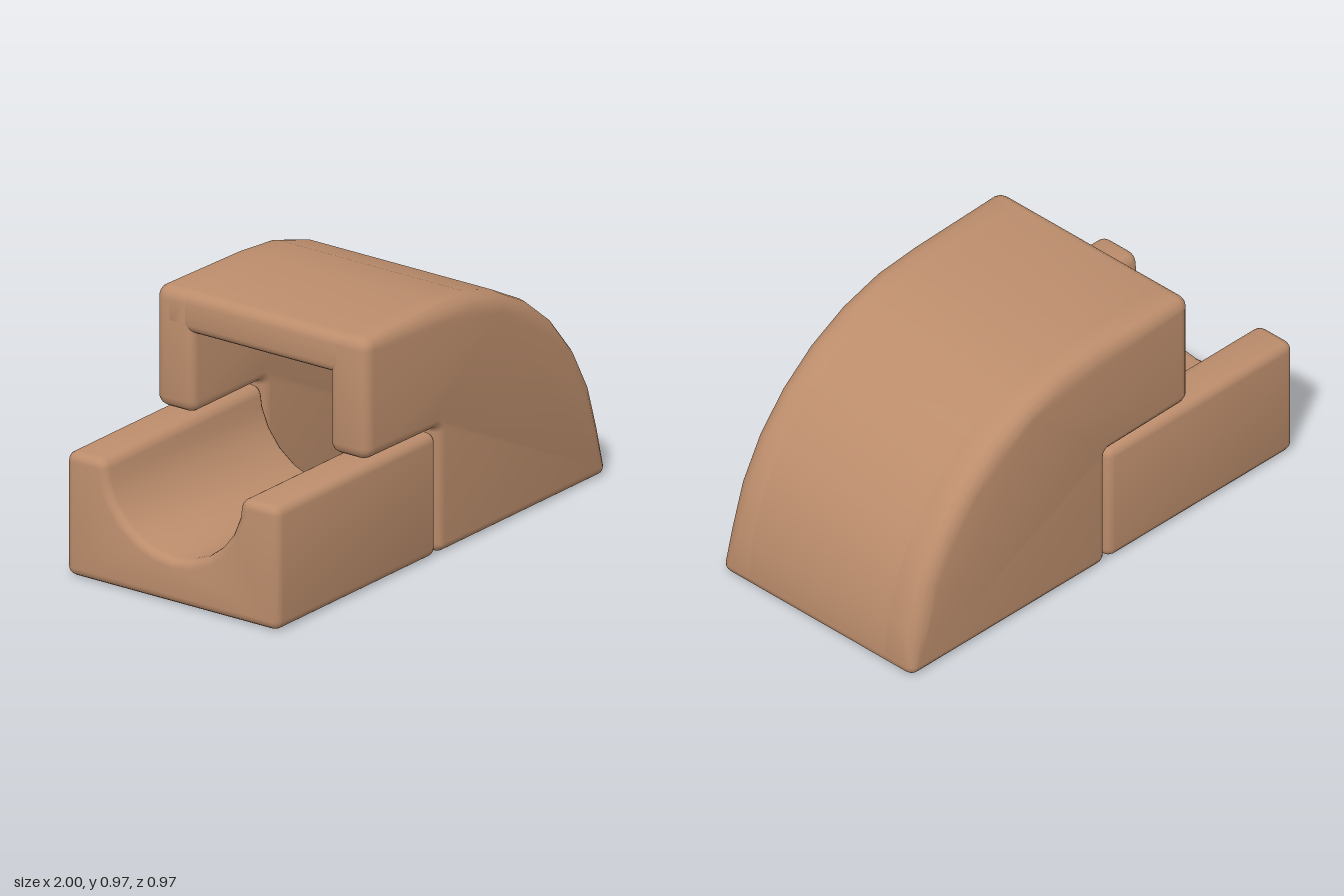
import * as THREE from 'three';
import { toCreasedNormals } from 'three/addons/utils/BufferGeometryUtils.js';

const wood = new THREE.MeshStandardMaterial({ color: 0xbc8d6c });
wood.name = 'wood';

// Replaces each corner [x, y, r] with a small arc where r > 0
function roundCorners(corners, steps = 4) {
  const out = [];
  corners.forEach(([x, y, r = 0], i) => {
    const p = new THREE.Vector2(x, y);
    if (!r) return out.push(p);
    const n = corners.length;
    const toward = (c) => new THREE.Vector2(c[0], c[1]).sub(p).normalize().multiplyScalar(r);
    const a = toward(corners[(i + n - 1) % n]);
    const b = toward(corners[(i + 1) % n]);
    for (let k = 0; k <= steps; k++) {
      const t = (k / steps) * Math.PI / 2;
      out.push(p.clone()
        .addScaledVector(a, 1 - Math.sin(t))
        .addScaledVector(b, 1 - Math.cos(t)));
    }
  });
  return out;
}

// Solid between z0 and z1 from a counter-clockwise outline, with rounded rims
function roundedPrism(outline, z0, z1, bevel0, bevel1) {
  const n = outline.length;
  const inward = outline.map((p, i) => {
    const normal = (a, b) => new THREE.Vector2(a.y - b.y, b.x - a.x).normalize();
    const n0 = normal(outline[(i + n - 1) % n], p);
    const n1 = normal(p, outline[(i + 1) % n]);
    return n0.clone().add(n1).divideScalar(1 + n0.dot(n1));
  });
  const rings = [];
  const ring = (z, dir, bevel, t) => rings.push(outline.map((p, i) => {
    const b = bevel(p);
    const q = p.clone().addScaledVector(inward[i], b * (1 - Math.cos(t)));
    return [q.x, q.y, z + dir * b * (1 - Math.sin(t))];
  }));
  const steps = 4;
  for (let k = steps; k >= 0; k--) ring(z0, 1, bevel0, (k / steps) * Math.PI / 2);
  for (let k = 0; k <= steps; k++) ring(z1, -1, bevel1, (k / steps) * Math.PI / 2);

  const pos = [];
  const tri = (a, b, c) => pos.push(...a, ...b, ...c);
  for (let k = 0; k < rings.length - 1; k++) {
    for (let i = 0; i < n; i++) {
      const j = (i + 1) % n;
      const lo = rings[k], hi = rings[k + 1];
      tri(lo[i], lo[j], hi[j]);
      tri(lo[i], hi[j], hi[i]);
    }
  }
  const first = rings[0], last = rings[rings.length - 1];
  for (const [a, b, c] of THREE.ShapeUtils.triangulateShape(outline.slice(), [])) {
    tri(last[a], last[b], last[c]);
    tri(first[c], first[b], first[a]);
  }
  const geo = new THREE.BufferGeometry();
  geo.setAttribute('position', new THREE.Float32BufferAttribute(pos, 3));
  return toCreasedNormals(geo, 0.75);
}

// Points on a quarter ellipse, from step a to step b of eight
function quarter(cx, rx, ry, a, b) {
  const pts = [];
  const d = Math.sign(b - a);
  for (let k = a; k !== b + d; k += d) {
    const t = (k / 8) * Math.PI / 2;
    pts.push([cx + rx * Math.cos(t), ry * Math.sin(t)]);
  }
  return pts;
}

export function createModel() {
  const group = new THREE.Group();
  const add = (name, geo) => {
    const mesh = new THREE.Mesh(geo, wood);
    mesh.name = name;
    group.add(mesh);
    return mesh;
  };
  const rim = () => 0.035;
  const square = () => 0;

  // Lower block with a half-round channel
  const top = 0.485, half = 0.485, radius = 0.31;
  const channel = [];
  for (let k = 1; k < 12; k++) {
    const t = (k / 12) * Math.PI;
    channel.push([radius * Math.cos(t), top - radius * Math.sin(t)]);
  }
  const blockOutline = roundCorners([
    [-half, 0, 0.036], [half, 0, 0.036], [half, top, 0.036],
    [radius, top, 0.036], ...channel, [-radius, top, 0.036], [-half, top, 0.036],
  ]);
  const block = roundedPrism(blockOutline, -1, -0.03, rim, rim);
  block.rotateY(Math.PI / 2);
  add('channelBlock', block);

  // Side walls of the curved hood
  const wallOutline = roundCorners([
    [-0.02, 0, 0.036], [1, 0, 0.036],
    ...quarter(0.01, 0.99, 0.97, 1, 8),
    [-0.46, 0.97, 0.046], [-0.46, 0.495, 0.046], [-0.02, 0.495, 0.02],
  ]);
  const outerRim = (p) => {
    if (p.y > 0.1 && p.x > 0 && p.y > 0.5 - p.x) return 0.07;
    return p.x < -0.3 ? 0.045 : 0.035;
  };
  add('hoodLeftWall', roundedPrism(wallOutline, 0.31, half, rim, outerRim));
  add('hoodRightWall', roundedPrism(wallOutline, -half, -0.31, outerRim, rim));

  // Curved roof joining the walls, hollow and open below
  const roofOutline = roundCorners([
    [0.84, 0, 0.03], [1, 0, 0.036],
    ...quarter(0.01, 0.99, 0.97, 1, 8),
    [-0.46, 0.97, 0.046], [-0.46, 0.81, 0.036],
    ...quarter(0.01, 0.83, 0.81, 8, 1),
  ]);
  add('hoodRoof', roundedPrism(roofOutline, -0.415, 0.415, square, square));

  return group;
}
